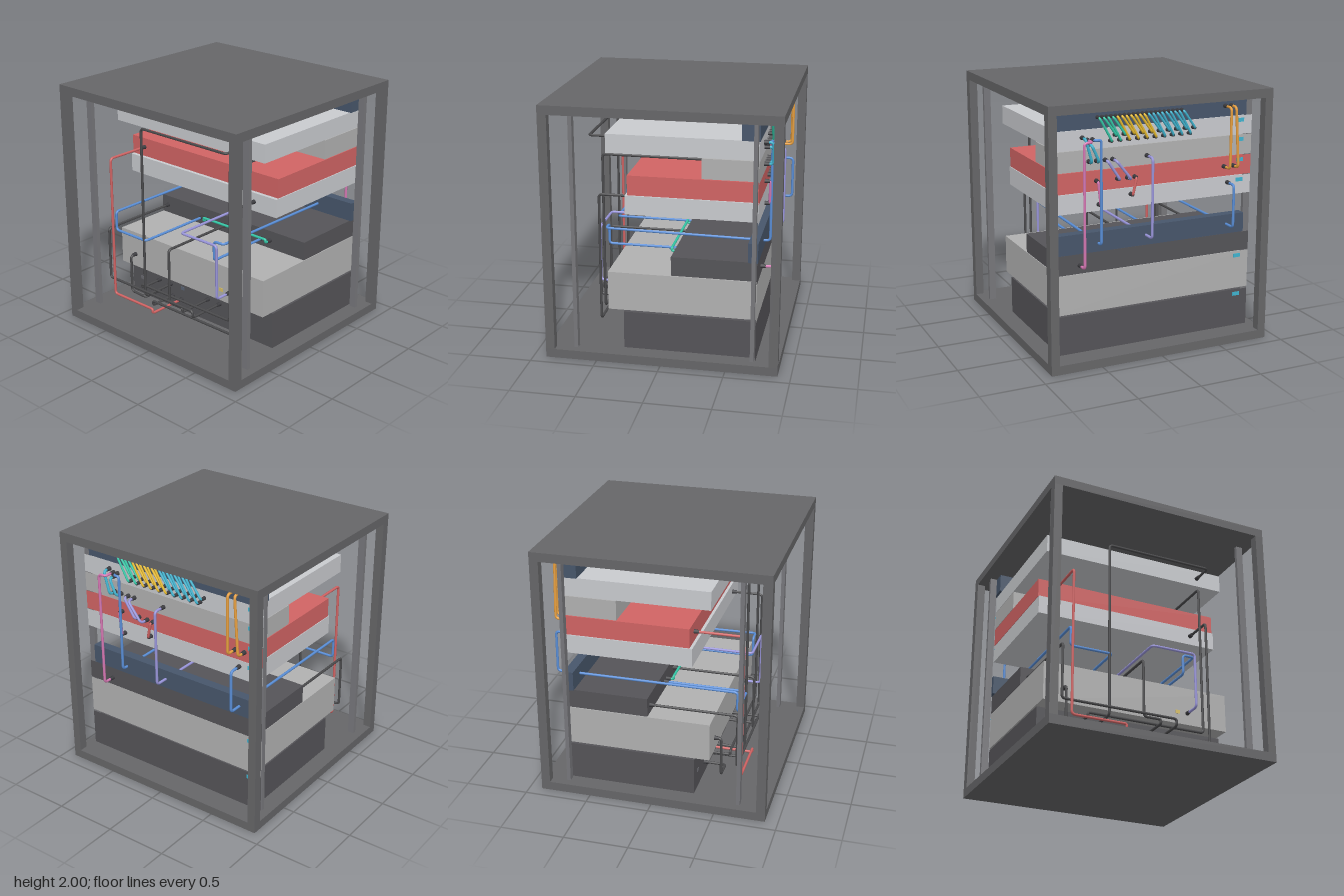
import * as THREE from 'three';

const V = (x, y, z) => new THREE.Vector3(x, y, z);
const mats = {};
const mat = (color) => (mats[color] ??= new THREE.MeshStandardMaterial({ color }));

const FRAME = 0x666668, RAIL = 0x77777b, PLUG = 0x3c3c40, DARK = 0x555458, GREY = 0xb1b1b1, LIGHT = 0xc9cbcf;
const RED = 0xd16464, NAVY = 0x47566b, BLACK = 0x4a4a4c, BLUE = 0x5a8fd8, PURPLE = 0x9a96dc;
const PINK = 0xd678b4, TEAL = 0x35c9a8, ORANGE = 0xe8a040, YELLOW = 0xe8bc30, CYAN = 0x40b4d0;
const BACK = -0.72; // equipment panel plane

// Curve through a ready-made point list, one sample per point
class Track extends THREE.Curve {
  constructor(points) { super(); this.points = points; }
  getPoint(t) {
    const f = t * (this.points.length - 1), i = Math.min(Math.floor(f + 1e-6), this.points.length - 2);
    return this.points[i].clone().lerp(this.points[i + 1], f - i);
  }
  getPointAt(t) { return this.getPoint(t); }
  getTangentAt(t) {
    const n = this.points.length - 1, i = Math.round(t * n);
    return this.points[Math.min(i + 1, n)].clone().sub(this.points[Math.max(i - 1, 0)]).normalize();
  }
}

// Straight runs joined by rounded bends
function roundedTrack(corners, bend) {
  const out = [corners[0]];
  for (let i = 1; i < corners.length - 1; i++) {
    const p = corners[i], a = corners[i - 1].clone().sub(p), b = corners[i + 1].clone().sub(p);
    const r = Math.min(bend, a.length() * 0.45, b.length() * 0.45);
    const q = new THREE.QuadraticBezierCurve3(p.clone().addScaledVector(a.normalize(), r), p, p.clone().addScaledVector(b.normalize(), r));
    out.push(...q.getPoints(5));
  }
  out.push(corners[corners.length - 1]);
  return new Track(out);
}

export function createModel() {
  const model = new THREE.Group();
  const add = (parent, name, geometry, color) => {
    const mesh = new THREE.Mesh(geometry, mat(color));
    mesh.name = name;
    parent.add(mesh);
    return mesh;
  };
  const box = (parent, name, color, x0, x1, y0, y1, z0, z1) => {
    const m = add(parent, name, new THREE.BoxGeometry(x1 - x0, y1 - y0, z1 - z0), color);
    m.position.set((x0 + x1) / 2, (y0 + y1) / 2, (z0 + z1) / 2);
    return m;
  };
  const group = (name) => {
    const g = new THREE.Group();
    g.name = name;
    model.add(g);
    return g;
  };

  // Cabinet: base, roof, corner posts and mounting rails
  const cabinet = group('cabinet');
  box(cabinet, 'base', FRAME, -0.91, 0.91, 0, 0.07, -0.9, 0.9);
  box(cabinet, 'roof', FRAME, -0.91, 0.91, 1.93, 2, -0.9, 0.9);
  for (const sx of [-1, 1]) for (const sz of [-1, 1]) {
    const post = box(cabinet, 'cornerPost', FRAME, 0.845, 0.91, 0.07, 1.93, 0.83, 0.9);
    post.position.x *= sx; post.position.z *= sz;
    const rail = box(cabinet, 'mountingRail', RAIL, 0.79, 0.845, 0.07, 1.93, 0.66, 0.69);
    rail.position.x *= sx;
    if (sz < 0) rail.position.z = -0.695;
  }

  // Equipment units: [name, colour, bottom, top, front depth]
  const units = [
    ['lowerPowerUnit', DARK, 0.07, 0.37, 0.31], ['storageUnit', GREY, 0.385, 0.69, 0.43],
    ['shallowUnit', DARK, 0.695, 0.845, -0.06], ['lowerServer', LIGHT, 1.16, 1.307, 0.29],
    ['firewallUnit', RED, 1.312, 1.465, 0.27], ['shortSwitch', GREY, 1.47, 1.625, -0.29],
    ['topSwitch', LIGHT, 1.63, 1.775, 0.43],
  ];
  for (const [name, color, y0, y1, z1] of units) {
    const g = group(name);
    box(g, 'housing', color, -0.772, 0.772, y0, y1, -0.715, z1);
    const plate = add(g, 'facePlate', new THREE.PlaneGeometry(1.68, y1 - y0), color);
    plate.rotation.y = Math.PI;
    plate.position.set(0, (y0 + y1) / 2, BACK);
    if (y0 !== 0.695) box(g, 'statusTag', CYAN, -0.77, -0.71, y1 - 0.05, y1 - 0.02, -0.724, BACK);
  }
  box(model, 'patchPanel', NAVY, -0.79, 0.79, 1.778, 1.93, BACK, -0.585);
  box(model, 'blankPanel', NAVY, -0.79, 0.79, 0.847, 1, BACK, -0.645);

  // Small sockets on the inner ends of the units
  for (const [x, y, z, c] of [[0.43, 0.225, 0.31, 0xd8c068], [0.345, 0.48, 0.43, 0xd8c068],
    [-0.19, 0.27, 0.31, 0x5a6474], [-0.66, 0.22, 0.31, 0x6a6a70]])
    box(model, 'socket', c, x - 0.018, x + 0.018, y - 0.014, y + 0.014, z, z + 0.005);

  // A cable with a plug at each end; the first and last corners lie on panels
  const cables = group('cables');
  const cable = (name, color, pts, r = 0.0105) => {
    const g = new THREE.Group();
    g.name = name;
    cables.add(g);
    const corners = pts.map((p) => V(...p));
    const track = roundedTrack(corners, 0.03);
    add(g, 'cord', new THREE.TubeGeometry(track, track.points.length - 1, r, 8), color);
    for (const [p, q] of [[corners[0], corners[1]], [corners.at(-1), corners.at(-2)]]) {
      const plug = add(g, 'plug', new THREE.CylinderGeometry(r * 1.3, r * 1.65, 0.038, 10), PLUG);
      plug.rotation.x = Math.sign(q.z - p.z) * Math.PI / 2;
      plug.position.copy(p);
      plug.position.z += Math.sign(q.z - p.z) * 0.019;
    }
  };

  // Power leads on the +z side: start, depth of run, drop height, end
  const lead = (name, color, x, y, z, run, drop, x2, y2) => cable(name, color,
    [[x, y, z], [x, y, run], [x, drop, run], [x2, drop, run], [x2, y2, run], [x2, y2, 0.31]]);
  lead('powerLead', BLACK, 0.515, 1.545, -0.29, 0.52, 0.3, -0.45, 0.27);
  lead('powerLead', BLACK, 0.555, 1.235, 0.29, 0.545, 0.205, -0.3, 0.17);
  lead('powerLead', BLACK, -0.705, 0.765, -0.06, 0.63, 0.325, 0.225, 0.27);
  lead('powerLead', BLACK, -0.04, 0.765, -0.06, 0.615, 0.305, 0.1, 0.27);
  lead('redPowerLead', RED, -0.635, 1.39, 0.27, 0.65, 0.205, -0.2, 0.17);
  cable('powerLead', BLACK, [[-0.61, 0.495, 0.43], [-0.61, 0.495, 0.485], [-0.61, 0.175, 0.485], [-0.45, 0.17, 0.485], [-0.45, 0.17, 0.31]]);
  cable('powerLead', BLACK, [[0.555, 1.7, 0.43], [0.555, 1.7, 0.61], [-0.32, 1.7, 0.61], [-0.32, 0.27, 0.61], [-0.32, 0.27, 0.31]]);
  cable('tealJumper', TEAL, [[-0.24, 0.765, -0.06], [-0.24, 0.765, 0], [-0.24, 0.79, 0], [0.43, 0.79, 0], [0.43, 0.765, 0], [0.43, 0.765, -0.06]]);

  // Long leads that pass through the open bay to the panel side
  cable('blueLead', BLUE, [[-0.3, 0.765, -0.06], [-0.3, 0.765, 0.61], [-0.635, 0.765, 0.61], [-0.635, 0.925, 0.61],
    [-0.635, 0.925, -0.825], [-0.635, 1.26, -0.825], [-0.635, 1.26, BACK]]);
  cable('blueLead', BLUE, [[0.355, 0.765, -0.06], [0.355, 0.765, 0.52], [0.355, 0.925, 0.52], [0.45, 0.925, 0.52],
    [0.45, 0.91, -0.77], [0.45, 1.7, -0.77], [0.5, 1.7, -0.77], [0.5, 1.7, BACK]]);
  cable('purpleLead', PURPLE, [[0.43, 0.48, 0.43], [0.43, 0.48, 0.575], [0.43, 0.925, 0.575], [0.06, 0.925, 0.575],
    [0.06, 0.925, -0.825], [0.06, 1.54, -0.825], [0.06, 1.54, BACK]]);
  cable('pinkLead', PINK, [[0.605, 0.76, BACK], [0.605, 0.76, -0.82], [0.605, 1.7, -0.82], [0.54, 1.7, -0.82], [0.54, 1.7, BACK]]);

  // Drops from the patch panel
  const jumper = (name, color, x0, y0, x1, y1, run, r) => cable(name, color,
    [[x0, y0, BACK], [x0, y0, run], [x1, y1, run], [x1, y1, BACK]], r);
  jumper('orangeDrop', ORANGE, -0.6, 1.86, -0.6, 1.39, -0.82);
  jumper('orangeDrop', ORANGE, -0.65, 1.86, -0.68, 1.39, -0.805);

  // Row of slanted patch leads
  for (let i = 0; i < 20; i++) {
    const x = 0.46 - i * 0.036;
    jumper('patchLead', i < 4 ? TEAL : i < 11 ? YELLOW : CYAN, x, 1.86, x - 0.1, i % 2 ? 1.72 : 1.68, -0.765, 0.009);
  }

  // Short links between neighbouring units
  jumper('tealLink', CYAN, 0.58, 1.72, 0.53, 1.54, -0.79);
  jumper('tealLink', CYAN, 0.53, 1.67, 0.47, 1.54, -0.785);
  jumper('purpleLink', PURPLE, 0.4, 1.54, 0.3, 1.39, -0.775);
  jumper('purpleLink', PURPLE, 0.34, 1.54, 0.22, 1.39, -0.8);
  jumper('pinkLink', PINK, 0.47, 1.39, 0.45, 1.21, -0.76);
  jumper('redLink', RED, 0.16, 1.39, 0.19, 1.26, -0.76);
  return model;
}
